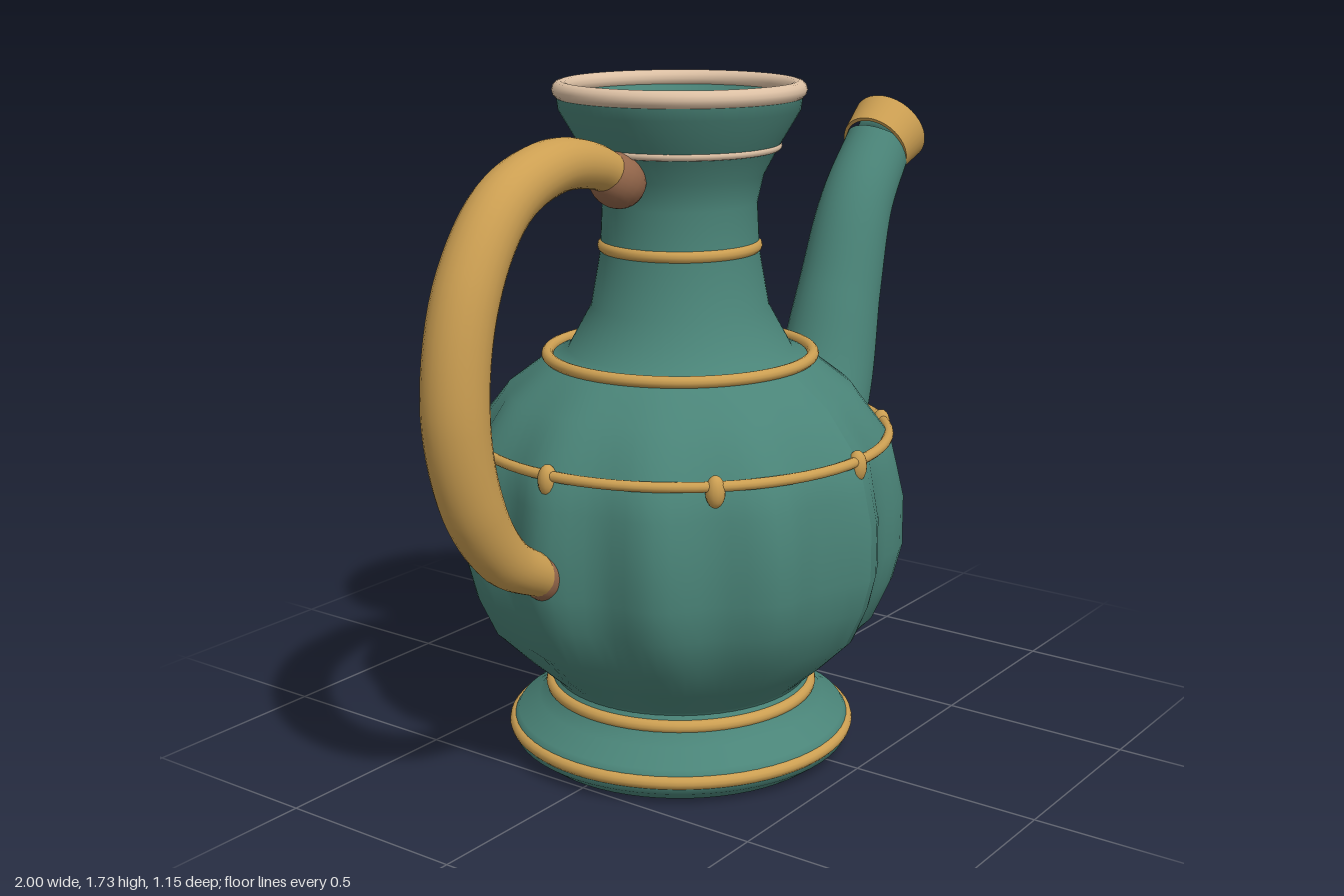
import * as THREE from 'three';

const mat = (name, color, side = THREE.FrontSide) => {
  const m = new THREE.MeshStandardMaterial({ color, side });
  m.name = name;
  return m;
};

const AXIS = -0.083; // x of the vessel's axis

// Sweep of round sections along a curve in the xy plane, with a varying radius
function sweep(points, radii, steps, sides) {
  const curve = new THREE.CatmullRomCurve3(points.map(([x, y]) => new THREE.Vector3(x, y, 0)));
  const pos = [], idx = [];
  for (let i = 0; i <= steps; i++) {
    const t = i / steps;
    const c = curve.getPoint(t), d = curve.getTangent(t);
    const f = t * (radii.length - 1), k = Math.min(Math.floor(f), radii.length - 2);
    const r = THREE.MathUtils.lerp(radii[k], radii[k + 1], f - k);
    for (let j = 0; j < sides; j++) {
      const a = (j / sides) * Math.PI * 2;
      pos.push(c.x - d.y * r * Math.cos(a), c.y + d.x * r * Math.cos(a), r * Math.sin(a));
      if (i < steps) {
        const n = (j + 1) % sides, p = i * sides;
        idx.push(p + j, p + n, p + j + sides, p + n, p + n + sides, p + j + sides);
      }
    }
  }
  const g = new THREE.BufferGeometry();
  g.setAttribute('position', new THREE.Float32BufferAttribute(pos, 3));
  g.setIndex(idx);
  g.computeVertexNormals();
  return g;
}

const lathe = (pts, sides) => new THREE.LatheGeometry(pts.map(([r, y]) => new THREE.Vector2(r, y)), sides);

export function createModel() {
  const model = new THREE.Group();
  model.name = 'ewer';
  const glaze = mat('teal glaze', 0x4a8478, THREE.DoubleSide);
  const gold = mat('gold', 0xcc9f52);
  const cream = mat('cream rim', 0xdcc0a4);
  const copper = mat('copper', 0x93664a);

  const add = (name, geo, material, x = 0, y = 0, z = 0, parent = model) => {
    const m = new THREE.Mesh(geo, material);
    m.name = name;
    m.position.set(x, y, z);
    parent.add(m);
    return m;
  };

  // Foot
  add('foot', lathe([[0, 0], [0.4, 0], [0.4, 0], [0.44, 0.03], [0.45, 0.06], [0.43, 0.09],
    [0.375, 0.125], [0.345, 0.165], [0.33, 0.2]], 64), glaze, AXIS);

  // Belly with twelve soft lobes that fade out at foot and shoulder
  const belly = lathe([[0.33, 0.18], [0.335, 0.2], [0.415, 0.275], [0.495, 0.36], [0.535, 0.46], [0.555, 0.55],
    [0.555, 0.68], [0.54, 0.76], [0.525, 0.84], [0.44, 0.96], [0.335, 1.04]], 96);
  const p = belly.attributes.position;
  for (let i = 0; i < p.count; i++) {
    const x = p.getX(i), y = p.getY(i), z = p.getZ(i);
    const fade = Math.sin(Math.PI * THREE.MathUtils.clamp((y - 0.2) / 0.8, 0, 1));
    const k = 1 + 0.036 * fade * Math.cos(12 * Math.atan2(z, x));
    p.setXYZ(i, x * k, y, z * k);
  }
  belly.computeVertexNormals();
  add('belly', belly, glaze, AXIS);

  // Neck, flared mouth and the surface inside it
  add('neck', lathe([[0.335, 1.04], [0.285, 1.06], [0.225, 1.17], [0.2, 1.31], [0.194, 1.43], [0.21, 1.5],
    [0.25, 1.575], [0.3, 1.66], [0.305, 1.7]], 64), glaze, AXIS);
  add('mouthWall', lathe([[0.285, 1.71], [0.25, 1.645]], 64), glaze, AXIS);
  add('mouthFloor', new THREE.CircleGeometry(0.255, 64).rotateX(-Math.PI / 2), glaze, AXIS, 1.647);

  // Rings: name, radius, tube, height, colour
  for (const [name, r, tube, y, m] of [
    ['footRing', 0.437, 0.017, 0.06, gold],
    ['waistRing', 0.339, 0.017, 0.165, gold],
    ['bellyRing', 0.532, 0.013, 0.845, gold],
    ['shoulderRing', 0.337, 0.015, 1.047, gold],
    ['neckRing', 0.19, 0.017, 1.322, gold],
    ['collarRing', 0.244, 0.01, 1.57, cream],
    ['rim', 0.293, 0.022, 1.708, cream],
  ]) add(name, new THREE.TorusGeometry(r, tube, 12, 72).rotateX(Math.PI / 2), m, AXIS, y);

  // Drops hanging along the belly ring
  const drop = new THREE.SphereGeometry(0.024, 14, 10).scale(1, 1.65, 1);
  for (let i = 0; i < 8; i++) {
    const a = (i / 8) * Math.PI * 2;
    add('drop', drop, gold, AXIS + 0.53 * Math.cos(a), 0.832, 0.53 * Math.sin(a));
  }

  // Spout
  add('spout', sweep([[0.3, 0.56], [0.475, 0.63], [0.6, 0.83], [0.68, 1.08], [0.765, 1.32], [0.885, 1.482]],
    [0.155, 0.16, 0.14, 0.118, 0.103, 0.094], 40, 32), glaze);

  // Spout tip: gold collar with a hollow glazed throat
  const tip = new THREE.Group();
  tip.name = 'spoutTip';
  tip.position.set(0.863, 1.472, 0);
  tip.rotation.z = -Math.PI / 2 + 0.53;
  model.add(tip);
  add('tipCollar', lathe([[0.09, 0], [0.1, 0], [0.1, 0], [0.113, 0.092], [0.113, 0.092], [0.088, 0.092]], 40),
    gold, 0, 0, 0, tip);
  add('throat', lathe([[0.088, 0.092], [0.075, 0.03], [0.06, 0.01], [0, 0.01]], 40), glaze, 0, 0, 0, tip);

  // Handle with copper sockets where it meets the vessel
  add('handle', sweep([[-0.32, 1.51], [-0.43, 1.555], [-0.58, 1.567], [-0.75, 1.5], [-0.875, 1.32],
    [-0.922, 1.06], [-0.875, 0.83], [-0.775, 0.68], [-0.64, 0.6]],
  [0.045, 0.055, 0.065, 0.072, 0.077, 0.078, 0.073, 0.063, 0.05], 56, 24), gold);
  const socket = new THREE.SphereGeometry(0.07, 20, 14);
  const upper = add('upperSocket', socket, copper, -0.335, 1.51);
  upper.scale.set(1.1, 0.95, 0.95);
  upper.rotation.z = -0.5;
  const lower = add('lowerSocket', socket, copper, -0.635, 0.603);
  lower.scale.set(0.8, 0.95, 0.8);
  lower.rotation.z = 0.3;

  return model;
}
